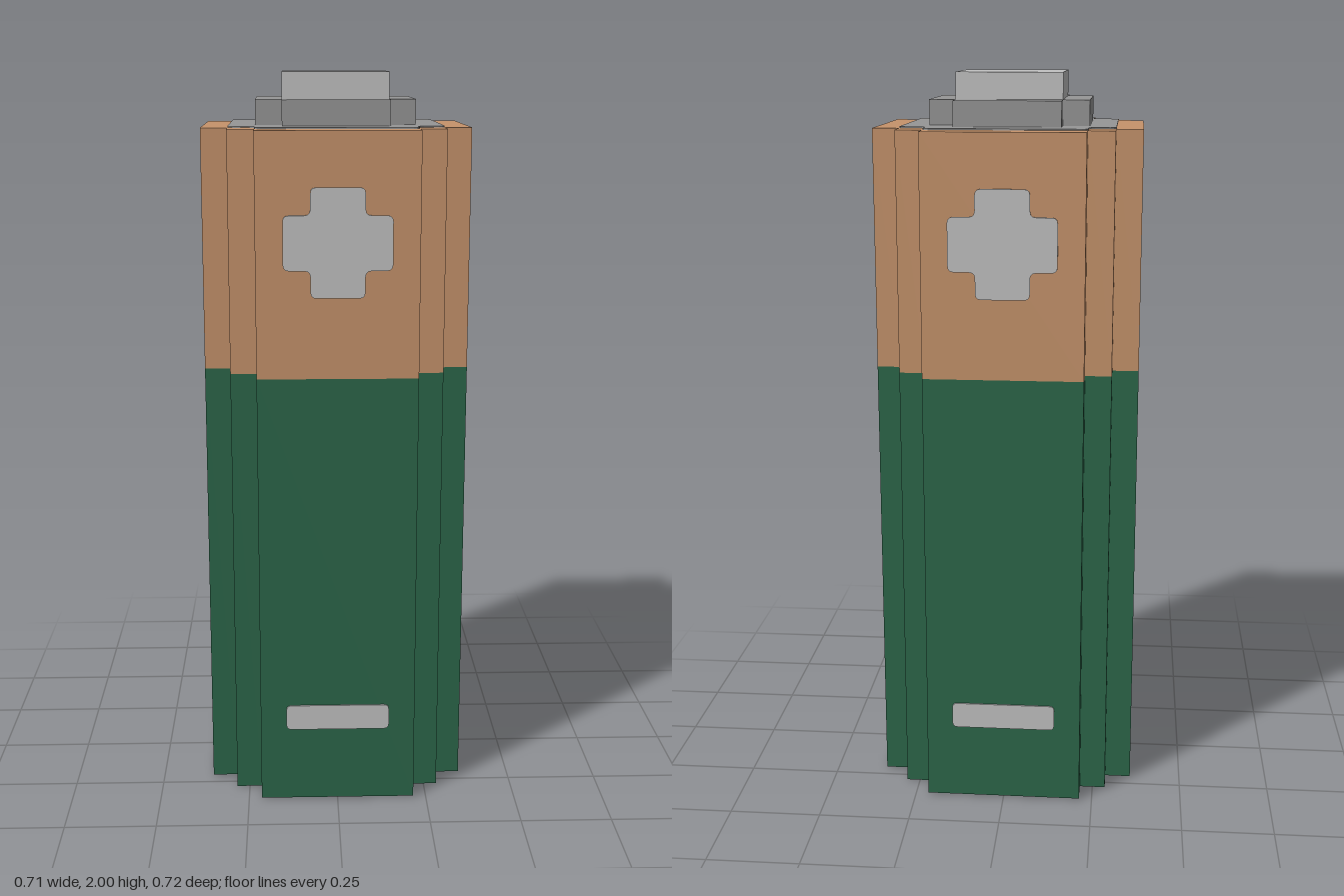
import * as THREE from 'three';

const U = 1 / 14; // block unit
const SKIN = 0.004; // thickness of painted plates

const material = (name, color) => new THREE.MeshStandardMaterial({ name, color });

// Repeats one quadrant's corners four times around the centre
function fourfold(quadrant) {
  const points = [];
  for (let i = 0; i < 4; i++) {
    for (const [a, b] of quadrant) {
      points.push([[a, b], [-b, a], [-a, -b], [b, -a]][i]);
    }
  }
  return points;
}

// Closed outline in block units, with optionally softened corners
function outline(points, radius = 0) {
  const v = points.map(([x, y]) => new THREE.Vector2(x * U, y * U));
  if (!radius) return new THREE.Shape(v);
  const shape = new THREE.Shape();
  v.forEach((p, i) => {
    const before = v[(i + v.length - 1) % v.length];
    const after = v[(i + 1) % v.length];
    const a = p.clone().add(before.clone().sub(p).setLength(radius));
    const b = p.clone().add(after.clone().sub(p).setLength(radius));
    if (i === 0) shape.moveTo(a.x, a.y);
    else shape.lineTo(a.x, a.y);
    shape.quadraticCurveTo(p.x, p.y, b.x, b.y);
  });
  shape.closePath();
  return shape;
}

const extrude = (shape, depth) =>
  new THREE.ExtrudeGeometry(shape, { depth, bevelEnabled: false, curveSegments: 3 });

export function createModel() {
  const green = material('green casing', 0x2c674a);
  const copper = material('copper casing', 0xc6936b);
  const silver = material('light silver', 0xc2c2c2);
  const gray = material('metal gray', 0x969696);
  const dark = material('dark metal', 0x606060);

  const model = new THREE.Group();
  model.name = 'battery';

  const add = (name, geometry, mat) => {
    const mesh = new THREE.Mesh(geometry, mat);
    mesh.name = name;
    model.add(mesh);
    return mesh;
  };
  // Upright slab between two heights
  const slab = (name, shape, y0, y1, mat) =>
    add(name, extrude(shape, y1 - y0).rotateX(-Math.PI / 2).translate(0, y0, 0), mat);

  // Stepped casing in two colours
  const casing = outline(fourfold([[5, 3], [4, 3], [4, 4], [3, 4], [3, 5]]));
  slab('lowerCasing', casing, SKIN, 17 * U, green);
  slab('upperCasing', casing, 17 * U, 26 * U, copper);

  // End plates
  const endPlate = outline(fourfold([[4, 3], [3, 3], [3, 4]]), 0.016);
  slab('topPlate', endPlate, 26 * U, 26 * U + SKIN, gray);
  slab('bottomPlate', endPlate, 0, SKIN, dark);

  // Raised terminal
  slab('terminalBase', outline(fourfold([[3, 2], [2, 2], [2, 3]])), 26 * U, 27 * U, gray);
  slab('terminalCap', outline(fourfold([[2, 2]])), 27 * U, 28 * U, silver);

  // Plus and minus marks on front and back
  const plus = outline(fourfold([[2, 1], [1, 1], [1, 2]]), 0.016);
  const minus = outline([[2, 0.5], [-2, 0.5], [-2, -0.5], [2, -0.5]], 0.014);
  for (const [side, turn] of [['front', 0], ['back', Math.PI]]) {
    for (const [mark, shape, y] of [['Plus', plus, 22 * U], ['Minus', minus, 3.5 * U]]) {
      const geometry = extrude(shape, SKIN).translate(0, y, 5 * U).rotateY(turn);
      add(side + mark, geometry, silver);
    }
  }
  return model;
}
